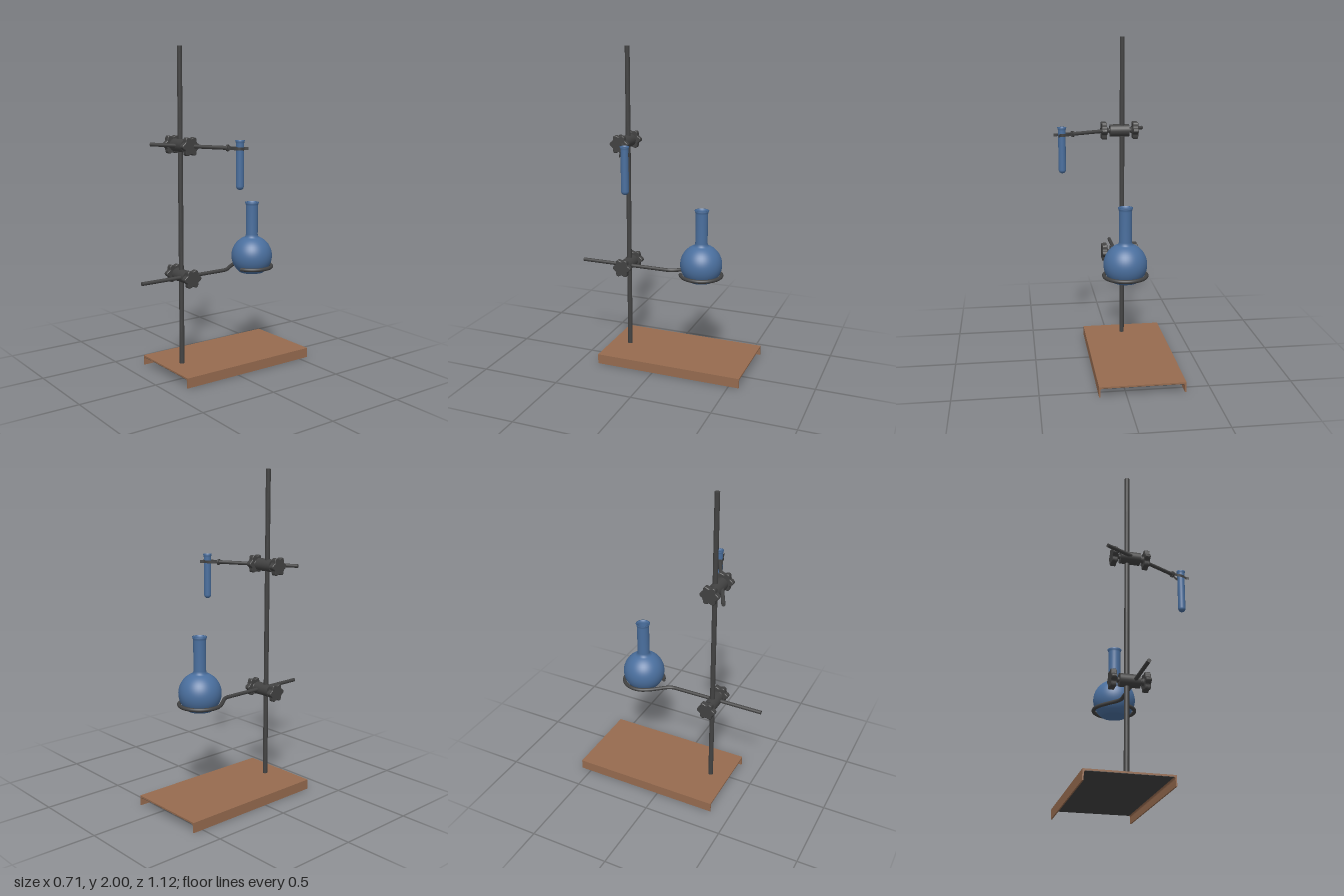
import * as THREE from 'three';

const mat = (name, hex, side = THREE.FrontSide) => {
  const m = new THREE.MeshStandardMaterial({ color: hex, side });
  m.name = name;
  return m;
};

export function createModel() {
  const root = new THREE.Group();
  root.name = 'retortStand';
  const brown = mat('brown base', 0x966b4f);
  const dark = mat('dark metal', 0x424242, THREE.DoubleSide);
  const blue = mat('blue glass', 0x4a6f9e, THREE.DoubleSide);

  const add = (parent, name, geo, material) => {
    const m = new THREE.Mesh(geo, material);
    m.name = name;
    parent.add(m);
    return m;
  };
  const V = (x, y, z) => new THREE.Vector3(x, y, z);
  // straight rod between two points
  const rod = (parent, name, a, b, r) => {
    const m = add(parent, name, new THREE.CylinderGeometry(r, r, a.distanceTo(b), 20), dark);
    m.position.copy(a).add(b).multiplyScalar(0.5);
    m.quaternion.setFromUnitVectors(V(0, 1, 0), b.clone().sub(a).normalize());
    return m;
  };

  // Base: open-ended channel with rounded inner corners
  const x0 = -0.35, x1 = 0.16, t = 0.008, h = 0.062, top = 0.052, f = 0.014;
  const s = new THREE.Shape();
  s.moveTo(x0, 0);
  s.lineTo(x0 + t, 0);
  s.lineTo(x0 + t, top - f);
  s.quadraticCurveTo(x0 + t, top, x0 + t + f, top);
  s.lineTo(x1 - t - f, top);
  s.quadraticCurveTo(x1 - t, top, x1 - t, top - f);
  s.lineTo(x1 - t, 0);
  s.lineTo(x1, 0);
  s.lineTo(x1, h);
  s.lineTo(x0, h);
  const base = add(root, 'base', new THREE.ExtrudeGeometry(s, { depth: 0.94, bevelEnabled: false, curveSegments: 6 }), brown);
  base.position.z = -0.565;
  const under = add(root, 'baseUnderside', new THREE.BoxGeometry(x1 - x0 - 2 * (t + f) + 0.012, 0.002, 0.938), dark);
  under.position.set((x0 + x1) / 2, top - 0.001, -0.095);

  // Upright
  rod(root, 'uprightRod', V(-0.085, 0.055, 0.255), V(-0.085, 2, 0.255), 0.015);

  // Clamps: body, two screws and two lobed knobs along x
  const knobShape = new THREE.Shape();
  for (let i = 0; i <= 72; i++) {
    const a = (i / 72) * Math.PI * 2, r = 0.053 + 0.007 * Math.cos(6 * a);
    knobShape[i ? 'lineTo' : 'moveTo'](r * Math.cos(a), r * Math.sin(a));
  }
  const knobGeo = new THREE.ExtrudeGeometry(knobShape, {
    depth: 0.028, bevelEnabled: true, bevelThickness: 0.003, bevelSize: 0.003, bevelOffset: -0.003, bevelSegments: 1,
  });
  knobGeo.translate(0, 0, -0.014).rotateY(Math.PI / 2);
  const makeClamp = (name, y, z) => {
    const g = new THREE.Group();
    g.name = name;
    g.position.set(-0.069, y, z);
    const body = add(g, 'clampBody', new THREE.CylinderGeometry(0.039, 0.039, 0.122, 28), dark);
    body.rotation.z = Math.PI / 2;
    for (const d of [-1, 1]) {
      const screw = add(g, 'clampScrew', new THREE.CylinderGeometry(0.014, 0.014, 0.05, 16), dark);
      screw.rotation.z = Math.PI / 2;
      screw.position.x = d * 0.08;
      const hub = add(g, 'knobHub', new THREE.CylinderGeometry(0.016, 0.026, 0.014, 18), dark);
      hub.rotation.z = d * Math.PI / 2;
      hub.position.x = d * 0.078;
      add(g, 'knob', knobGeo, dark).position.x = d * 0.099;
    }
    root.add(g);
  };
  makeClamp('lowerClamp', 0.622, 0.255);
  makeClamp('upperClamp', 1.418, 0.262);

  // Support ring: one bent rod running into an open ring
  const ry = 0.622, rr = 0.0115, cx = -0.035, cz = -0.25, R = 0.127;
  const on = (deg) => {
    const a = (deg * Math.PI) / 180;
    return V(cx + R * Math.cos(a), ry, cz + R * Math.sin(a));
  };
  const path = new THREE.CurvePath();
  const bendA = V(-0.04, ry, -0.025), bendB = V(-0.068, ry, -0.088), join = on(145);
  path.add(new THREE.LineCurve3(V(-0.04, ry, 0.56), bendA));
  path.add(new THREE.QuadraticBezierCurve3(bendA, V(-0.04, ry, -0.055), bendB));
  path.add(new THREE.CubicBezierCurve3(bendB, V(-0.09, ry, -0.113), V(-0.122, ry, -0.15), join));
  const arc = [];
  for (let d = 145; d <= 430; d += 15) arc.push(on(d));
  path.add(new THREE.CatmullRomCurve3(arc));
  add(root, 'supportRing', new THREE.TubeGeometry(path, 160, rr, 14, false), dark);
  for (const u of [0, 1]) {
    const cap = add(root, 'ringRodEnd', new THREE.CircleGeometry(rr, 14), dark);
    cap.position.copy(path.getPointAt(u));
    cap.lookAt(cap.position.clone().addScaledVector(path.getTangentAt(u), u ? 1 : -1));
  }

  // Flask: flat bottom, round bulb, open neck with a small lip
  const fp = [new THREE.Vector2(0, 0.585), new THREE.Vector2(0.072, 0.585)];
  const a0 = -0.93, a1 = 1.25;
  for (let i = 0; i <= 20; i++) {
    const a = a0 + ((a1 - a0) * i) / 20;
    fp.push(new THREE.Vector2(0.13 * Math.cos(a), 0.69 + 0.13 * Math.sin(a)));
  }
  fp.push(...[[0.038, 0.83], [0.038, 1.015], [0.041, 1.026], [0.045, 1.036], [0.039, 1.036], [0.034, 1.02], [0.034, 0.83]]
    .map((p) => new THREE.Vector2(...p)));
  add(root, 'flask', new THREE.LatheGeometry(fp, 48), blue).position.set(cx, 0, cz);

  // Upper arm, with a collar where the prongs begin
  const ay = 1.418, tip = V(0.25, ay, 0.135), tail = V(-0.232, ay, 0.372);
  rod(root, 'upperArm', tail, tip, 0.0115);
  const dir = tip.clone().sub(tail).normalize();
  rod(root, 'armCollar', tip.clone().addScaledVector(dir, -0.018), tip.clone().addScaledVector(dir, -0.008), 0.019);

  // Gripping prongs: thin upright ribbons either side of the tube
  const grip = new THREE.Group();
  grip.name = 'tubeGrip';
  grip.position.copy(tip);
  grip.rotation.y = Math.atan2(-dir.z, dir.x);
  for (const d of [-1, 1]) {
    const curve = new THREE.CatmullRomCurve3([[-0.012, 0.01], [0.012, 0.013], [0.04, 0.024], [0.064, 0.026], [0.083, 0.021], [0.105, 0.031]]
      .map(([x, z]) => V(x, 0, d * z)));
    const pts = curve.getPoints(24), pos = [], idx = [];
    pts.forEach((p, i) => {
      pos.push(p.x, -0.009, p.z, p.x, 0.009, p.z);
      if (i) idx.push(2 * i - 2, 2 * i, 2 * i - 1, 2 * i - 1, 2 * i, 2 * i + 1);
    });
    const geo = new THREE.BufferGeometry();
    geo.setAttribute('position', new THREE.Float32BufferAttribute(pos, 3));
    geo.setIndex(idx);
    geo.computeVertexNormals();
    add(grip, 'prong', geo, dark);
  }
  root.add(grip);

  // Test tube: rounded bottom, open top with a lip
  const tp = [];
  for (let i = 0; i <= 8; i++) {
    const a = (i / 8 - 1) * Math.PI / 2;
    tp.push(new THREE.Vector2(0.023 * Math.cos(a), 1.203 + 0.023 * Math.sin(a)));
  }
  tp.push(...[[0.023, 1.445], [0.025, 1.455], [0.028, 1.465], [0.023, 1.465], [0.02, 1.45], [0.02, 1.203], [0.014, 1.19], [0, 1.184]]
    .map((p) => new THREE.Vector2(...p)));
  add(root, 'testTube', new THREE.LatheGeometry(tp, 32), blue).position.set(0.307, 0, 0.105);

  return root;
}
